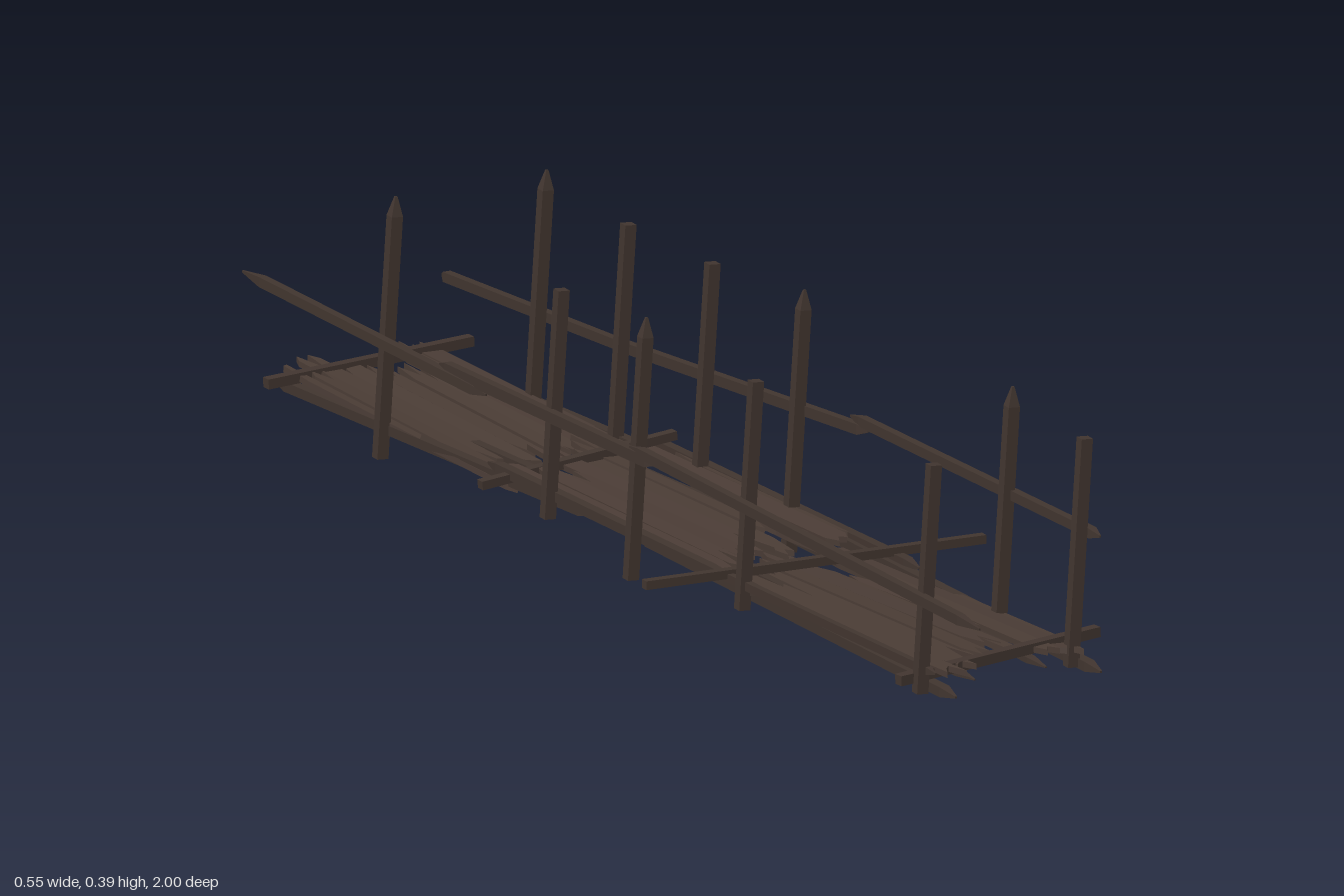
import * as THREE from 'three';

const plankWood = new THREE.MeshStandardMaterial({ color: 0x4a3c35, flatShading: true });
plankWood.name = 'plank wood';
const beamWood = new THREE.MeshStandardMaterial({ color: 0x41352f, flatShading: true });
beamWood.name = 'beam wood';

// Seeded random for splintered ends
let seed = 7;
const rnd = () => (seed = (seed * 16807) % 2147483647) / 2147483647;

// Square timber from a to b; tipA and tipB are the lengths of the sharpened ends
function beam(name, a, b, w, h, tipA = 0, tipB = 0) {
  const A = new THREE.Vector3(...a), B = new THREE.Vector3(...b);
  const len = A.distanceTo(B);
  const geo = new THREE.BoxGeometry(w, h, len, 1, 1, 3);
  const p = geo.attributes.position;
  for (let i = 0; i < p.count; i++) {
    const z = p.getZ(i), end = Math.abs(z) > len * 0.4;
    const tip = z < 0 ? tipA : tipB;
    if (!end) p.setZ(i, z < 0 ? -len / 2 + tipA + 0.002 : len / 2 - tipB - 0.002);
    else if (tip) p.setXY(i, p.getX(i) * 0.2, p.getY(i) * 0.2);
  }
  geo.computeVertexNormals();
  const mesh = new THREE.Mesh(geo, beamWood);
  mesh.name = name;
  mesh.position.copy(A).add(B).multiplyScalar(0.5);
  mesh.lookAt(B);
  return mesh;
}

// Thin plank along z with a few coarse splinters at each end
function plank(x, w, z0, z1, y0, y1) {
  const len = z0 - z1, n = Math.max(2, Math.round(w / 0.009));
  const s = new THREE.Shape();
  const end = (i) => len / 2 - (i % 2 ? rnd() * 0.04 : 0.02 + rnd() * 0.09);
  for (let i = 0; i <= n; i++) {
    const px = -w / 2 + (w * i) / n;
    if (i) s.lineTo(px, -end(i));
    else s.moveTo(px, -end(i));
  }
  for (let i = n; i >= 0; i--) s.lineTo(-w / 2 + (w * i) / n, end(i));
  s.closePath();
  const geo = new THREE.ExtrudeGeometry(s, { depth: 0.009, bevelEnabled: false });
  geo.rotateX(-Math.PI / 2);
  const mesh = new THREE.Mesh(geo, plankWood);
  mesh.name = 'deckPlank';
  mesh.position.set(x, (y0 + y1) / 2 - 0.006 + (rnd() - 0.5) * 0.006, (z0 + z1) / 2);
  mesh.rotation.set(Math.atan2(y0 - y1, len), (rnd() - 0.5) * 0.025, (rnd() - 0.5) * 0.2);
  return mesh;
}

export function createModel() {
  const model = new THREE.Group();
  model.name = 'footbridge';
  const add = (...m) => model.add(...m);

  // Posts: [x at mid height, z, sharpened]
  const posts = [
    [-0.136, 0.83, 0], [-0.134, 0.34, 0], [-0.138, 0.045, 1], [-0.132, -0.195, 0], [-0.126, -0.66, 1],
    [0.118, 0.83, 0], [0.128, 0.615, 1], [0.128, 0.045, 1], [0.122, -0.195, 0], [0.122, -0.425, 0],
    [0.128, -0.66, 1],
  ];
  for (const [x, z, sharp] of posts) {
    const lo = sharp ? 0.001 : 0.03, hi = sharp ? 0.389 : 0.369;
    const lean = (y) => x + (y - 0.19) * 0.065;
    add(beam(x < 0 ? 'rightPost' : 'leftPost', [lean(lo), lo, z + 0.001], [lean(hi), hi, z + 0.003],
      0.017, 0.018, 0, sharp ? 0.027 : 0));
  }

  // Hand rails
  add(
    beam('rightRail', [-0.15, 0.168, 1.0], [-0.148, 0.197, 0.04], 0.013, 0.015, 0.05, 0.03),
    beam('rightRail', [-0.148, 0.188, 0.11], [-0.142, 0.185, -0.49], 0.013, 0.017, 0.02, 0.02),
    beam('rightRail', [-0.144, 0.172, -0.36], [-0.16, 0.197, -1.0], 0.013, 0.015, 0.03, 0.05),
    beam('leftRail', [0.136, 0.228, 0.865], [0.144, 0.231, 0.17], 0.013, 0.015, 0.02, 0.03),
    beam('leftRail', [0.142, 0.22, 0.22], [0.143, 0.176, -0.48], 0.013, 0.016, 0.02, 0.02),
    beam('leftRail', [0.145, 0.18, -0.37], [0.145, 0.157, -0.95], 0.013, 0.015, 0.01, 0.01),
  );

  // Long stringers on both sides and joists under the deck
  for (const s of [-1, 1]) {
    add(
      beam('stringer', [s * 0.122, 0.034, 0.89], [s * 0.122, 0.056, 0.02], 0.016, 0.015, 0.03, 0.03),
      beam('stringer', [s * 0.13, 0.058, 0.38], [s * 0.128, 0.064, -0.38], 0.015, 0.015, 0.03, 0.03),
      beam('stringer', [s * 0.122, 0.055, -0.1], [s * 0.122, 0.035, -0.97], 0.016, 0.015, 0.03, 0.03),
      beam('joist', [s * 0.06, 0.038, 0.84], [s * 0.07, 0.053, 0.0], 0.014, 0.009, 0.04, 0.04),
      beam('joist', [s * 0.065, 0.054, 0.1], [s * 0.06, 0.039, -0.9], 0.014, 0.009, 0.04, 0.04),
    );
  }
  add(beam('upperStringer', [-0.138, 0.064, 0.86], [-0.14, 0.066, 0.27], 0.01, 0.013, 0.02, 0.02));

  // Cross bars lying on the deck
  add(
    beam('crossBar', [-0.175, 0.05, 0.818], [0.17, 0.066, 0.802], 0.016, 0.015),
    beam('crossBar', [-0.275, 0.073, 0.285], [0.271, 0.068, 0.328], 0.014, 0.013),
    beam('crossBar', [-0.18, 0.054, -0.318], [0.138, 0.084, -0.302], 0.015, 0.013),
    beam('crossBar', [-0.175, 0.054, -0.912], [0.165, 0.068, -0.902], 0.016, 0.015),
  );

  // Deck sections: start height, end height, planks as [x, width, z0, z1]
  const sections = [
    [0.044, 0.06, [
      [-0.105, 0.026, 0.88, 0.18], [-0.078, 0.03, 0.86, 0.15], [-0.05, 0.03, 0.84, 0.2],
      [-0.022, 0.03, 0.82, 0.17], [0.008, 0.03, 0.78, 0.14], [0.027, 0.02, 0.83, 0.25],
      [0.047, 0.016, 0.7, 0.3], [0.07, 0.026, 0.87, 0.18], [0.097, 0.03, 0.86, 0.16],
      [0.118, 0.014, 0.89, 0.28],
    ]],
    [0.063, 0.063, [
      [-0.114, 0.02, 0.3, -0.38], [-0.088, 0.026, 0.28, -0.34], [-0.059, 0.032, 0.25, -0.28],
      [-0.03, 0.03, 0.22, -0.42], [0.002, 0.034, 0.26, -0.38], [0.03, 0.024, 0.15, -0.44],
      [0.05, 0.014, 0.24, 0.0], [0.068, 0.022, 0.22, -0.1], [0.095, 0.034, 0.25, -0.36],
      [0.118, 0.014, 0.22, -0.3],
    ]],
    [0.06, 0.044, [
      [-0.122, 0.014, -0.3, -0.98], [-0.1, 0.026, -0.34, -0.94], [-0.07, 0.034, -0.4, -0.99],
      [-0.04, 0.03, -0.38, -0.92], [-0.012, 0.028, -0.4, -0.92], [0.015, 0.026, -0.38, -0.89],
      [0.04, 0.022, -0.33, -0.85], [0.066, 0.03, -0.3, -0.97], [0.097, 0.034, -0.28, -0.96],
    ]],
  ];
  for (const [y0, y1, planks] of sections) {
    for (const [x, w, z0, z1] of planks) add(plank(x, w, z0, z1, y0, y1));
  }
  return model;
}
